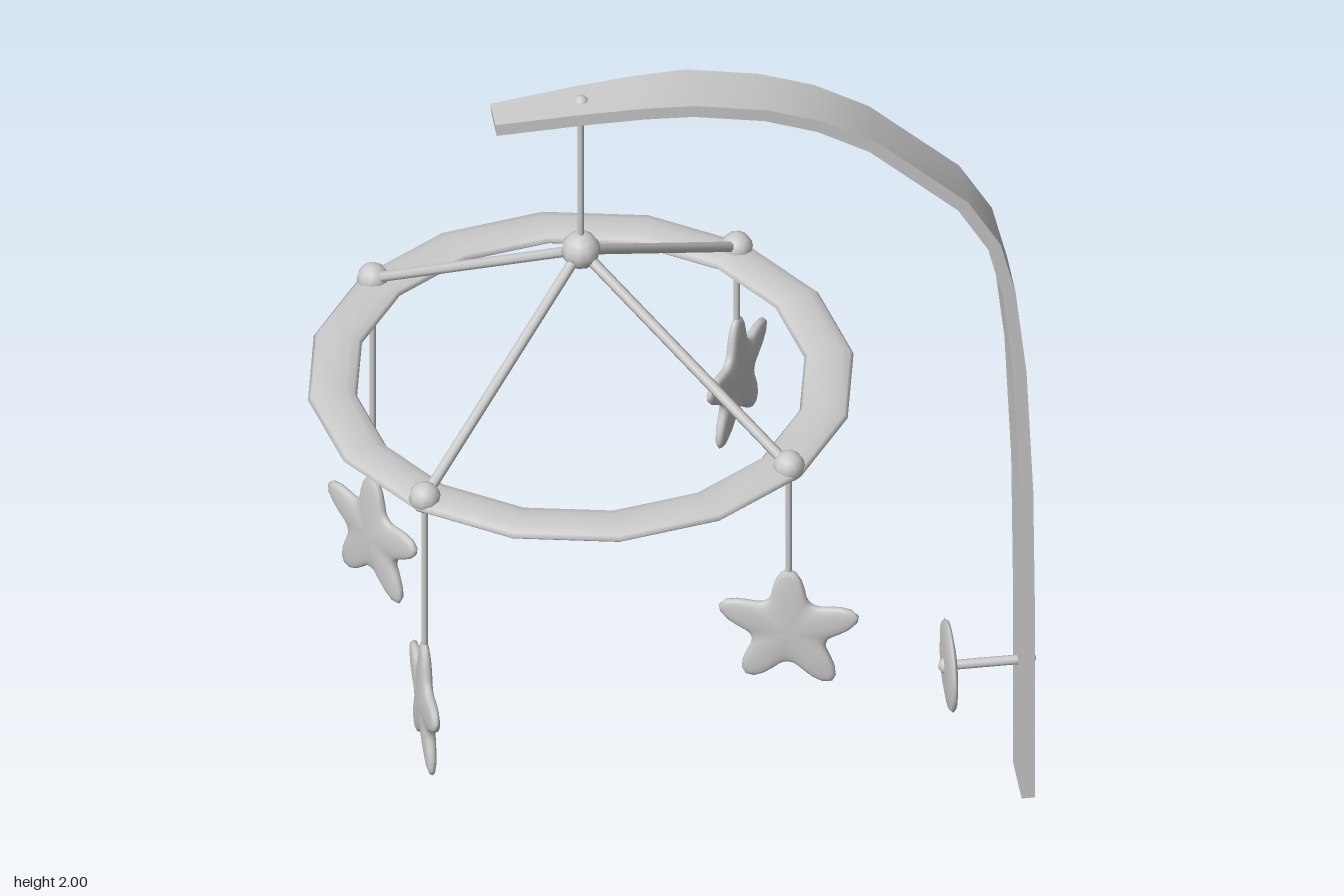
import * as THREE from 'three';

const material = new THREE.MeshStandardMaterial({ color: 0xcccccc });
const V = (x, y, z) => new THREE.Vector3(x, y, z);

function add(parent, name, geometry, position) {
  const mesh = new THREE.Mesh(geometry, material);
  mesh.name = name;
  if (position) mesh.position.copy(position);
  parent.add(mesh);
  return mesh;
}

const ball = (parent, name, r, p, w = 10, h = 8) => add(parent, name, new THREE.SphereGeometry(r, w, h), p);

// Thin cylinder between two points
function rod(parent, name, a, b, r) {
  const dir = b.clone().sub(a);
  const mesh = add(parent, name, new THREE.CylinderGeometry(r, r, dir.length(), 8), a.clone().lerp(b, 0.5));
  mesh.quaternion.setFromUnitVectors(V(0, 1, 0), dir.normalize());
  return mesh;
}

// Flat band swept along a bent path: x, y, half width
function armGeometry() {
  const path = [
    [-0.4, 1.955, 0.04], [-0.2, 1.974, 0.054], [-0.07, 1.982, 0.062], [0.04, 1.982, 0.068],
    [0.2, 1.953, 0.068], [0.32, 1.91, 0.068], [0.44, 1.84, 0.068], [0.64, 1.655, 0.068],
    [0.71, 1.535, 0.068], [0.743, 1.4, 0.068], [0.767, 1.18, 0.068], [0.782, 0.85, 0.068],
    [0.786, 0.5, 0.068], [0.786, 0, 0.068],
  ];
  const n = path.length - 1;
  const geometry = new THREE.BoxGeometry(1, 0.03, 2, n, 1, 1);
  const pos = geometry.attributes.position;
  for (let i = 0; i < pos.count; i++) {
    const k = Math.round((pos.getX(i) + 0.5) * n);
    const [x, y, w] = path[k];
    const a = path[Math.max(k - 1, 0)], b = path[Math.min(k + 1, n)];
    const dir = new THREE.Vector2(b[0] - a[0], b[1] - a[1]).normalize();
    if (k === n) dir.set(0, -1);
    const t = pos.getY(i);
    pos.setXYZ(i, x - dir.y * t, y + dir.x * t, pos.getZ(i) * w);
  }
  geometry.computeVertexNormals();
  return geometry;
}

// Puffy five-pointed star: a sphere squashed and pulled out to a star outline
function starGeometry() {
  const geometry = new THREE.SphereGeometry(1, 60, 14).rotateX(Math.PI / 2);
  const pos = geometry.attributes.position;
  for (let i = 0; i < pos.count; i++) {
    const x = pos.getX(i), y = pos.getY(i), z = pos.getZ(i);
    const angle = Math.atan2(x, y);
    const r = 0.089 + 0.076 * Math.pow(0.5 + 0.5 * Math.cos(5 * angle), 1.5);
    pos.setXYZ(i, x * r, y * r, Math.sign(z) * 0.016 * Math.pow(Math.abs(z), 0.6));
  }
  geometry.computeVertexNormals();
  return geometry;
}

export function createModel() {
  const model = new THREE.Group();
  model.name = 'cribMobile';

  add(model, 'arm', armGeometry());

  // Clamp: screw through the arm with a round pad
  const clamp = new THREE.Group();
  clamp.name = 'clamp';
  model.add(clamp);
  const clampY = 0.335;
  rod(clamp, 'clampScrew', V(0.61, clampY, 0), V(0.8, clampY, 0), 0.011);
  ball(clamp, 'screwHead', 0.021, V(0.792, clampY, 0));
  ball(clamp, 'screwTip', 0.02, V(0.614, clampY, 0));
  const padProfile = [[0, -0.012], [0.06, -0.012], [0.1, -0.006], [0.105, 0], [0.1, 0.006], [0.06, 0.012], [0, 0.012]];
  const pad = add(clamp, 'clampPad',
    new THREE.LatheGeometry(padProfile.map(p => new THREE.Vector2(...p)), 28), V(0.618, clampY, 0));
  pad.rotation.z = Math.PI / 2;

  // Hanging cord and hub
  const cx = -0.205, hub = V(cx, 1.575, 0);
  rod(model, 'mainCord', hub, V(cx, 1.985, 0), 0.007);
  ball(model, 'cordKnot', 0.018, V(cx, 1.982, 0));
  ball(model, 'hub', 0.044, hub);

  // Flattened sixteen-sided ring
  const ringY = 1.222;
  const ring = new THREE.TorusGeometry(0.555, 0.055, 12, 16).rotateX(Math.PI / 2).scale(1, 0.29, 1);
  add(model, 'ring', ring, V(cx, ringY, 0));

  // Spokes, knobs, strings and stars: side x, side z, star top, star turn
  const star = starGeometry();
  const hangers = [
    [1, 1, 0.95, -0.29], [-1, 1, 0.835, -1.54],
    [1, -1, 1.042, 1.02], [-1, -1, 0.69, -1.05],
  ];
  for (const [sx, sz, top, turn] of hangers) {
    const hanger = new THREE.Group();
    hanger.name = 'hanger';
    model.add(hanger);
    const x = cx + sx * 0.407, z = sz * 0.407;
    const knob = V(x, 1.236, z);
    rod(hanger, 'spoke', hub, knob, 0.0125);
    ball(hanger, 'knob', 0.036, knob);
    rod(hanger, 'string', V(x, ringY, z), V(x, top - 0.02, z), 0.007);
    add(hanger, 'star', star, V(x, top - 0.165, z)).rotation.y = turn;
  }
  return model;
}
